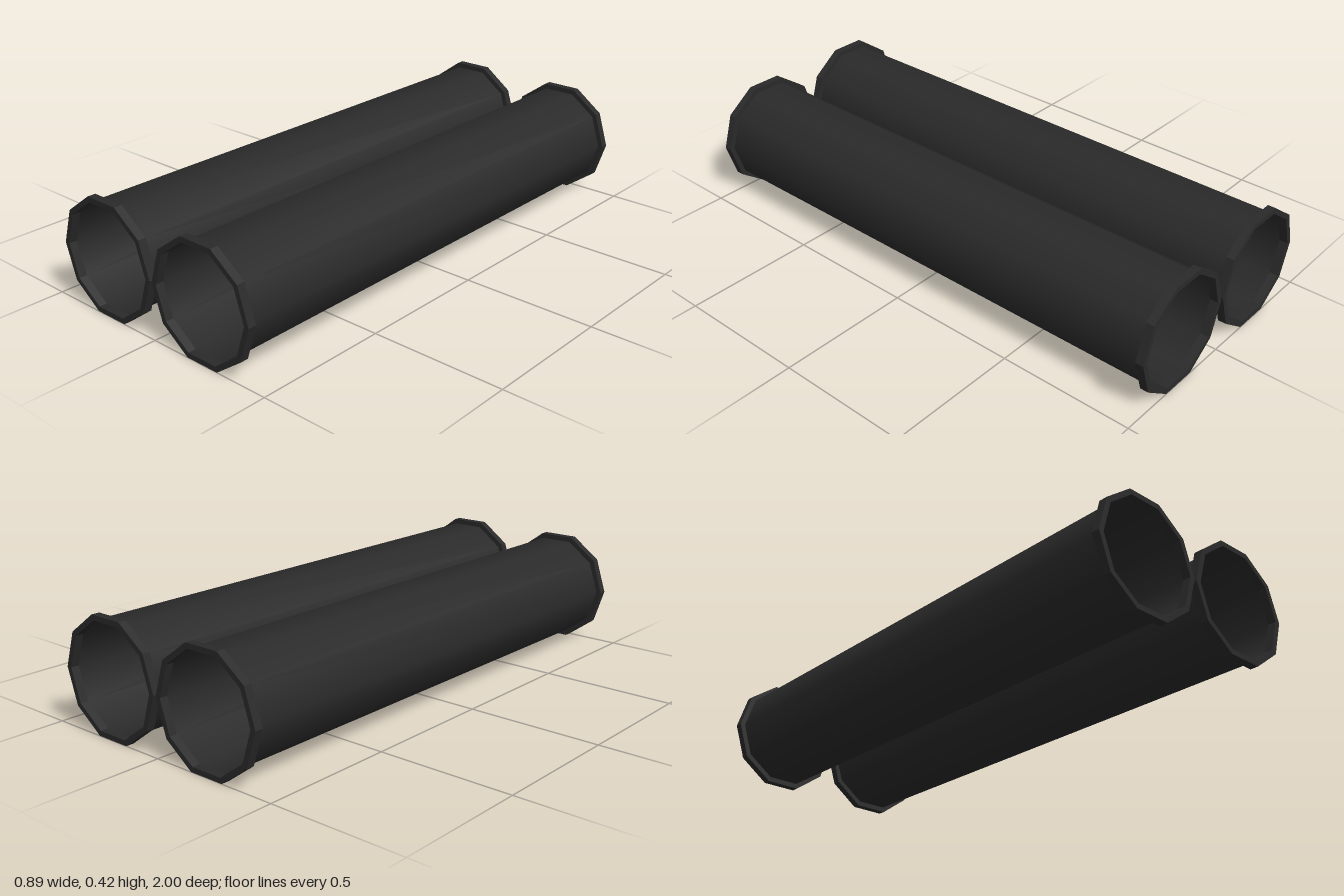
import * as THREE from 'three';

const SIDES = 10;
const TUBE_R = 0.2, FLANGE_R = 0.22;
const LENGTH = 2, FLANGE_T = 0.03;
const CENTER_X = 0.225;
const CENTER_Y = FLANGE_R * Math.cos(Math.PI / SIDES);

// Corners of a regular polygon with a corner on the x axis
function polygon(radius) {
  return Array.from({ length: SIDES }, (_, i) => {
    const a = (i / SIDES) * Math.PI * 2;
    return new THREE.Vector2(Math.cos(a) * radius, Math.sin(a) * radius);
  });
}

export function createModel() {
  const model = new THREE.Group();
  model.name = 'twinTubes';
  const material = new THREE.MeshStandardMaterial({ color: 0x2a2a2a, side: THREE.DoubleSide });

  // Thin open tube lying along z, smooth shaded
  const tubeGeometry = new THREE.CylinderGeometry(
    TUBE_R, TUBE_R, LENGTH - 2 * FLANGE_T, SIDES, 1, true, Math.PI / 2);
  tubeGeometry.rotateX(Math.PI / 2);

  // Faceted end ring
  const ring = new THREE.Shape(polygon(FLANGE_R));
  ring.holes.push(new THREE.Path(polygon(TUBE_R).reverse()));
  const flangeGeometry = new THREE.ExtrudeGeometry(ring, { depth: FLANGE_T, bevelEnabled: false });

  for (const [side, sign] of [['left', 1], ['right', -1]]) {
    const barrel = new THREE.Group();
    barrel.name = side + 'Barrel';
    barrel.position.set(sign * CENTER_X, CENTER_Y, 0);

    const tube = new THREE.Mesh(tubeGeometry, material);
    tube.name = side + 'Tube';
    barrel.add(tube);

    for (const [end, z] of [['Front', LENGTH / 2 - FLANGE_T], ['Back', -LENGTH / 2]]) {
      const flange = new THREE.Mesh(flangeGeometry, material);
      flange.name = side + end + 'Flange';
      flange.position.z = z;
      barrel.add(flange);
    }
    model.add(barrel);
  }
  return model;
}
